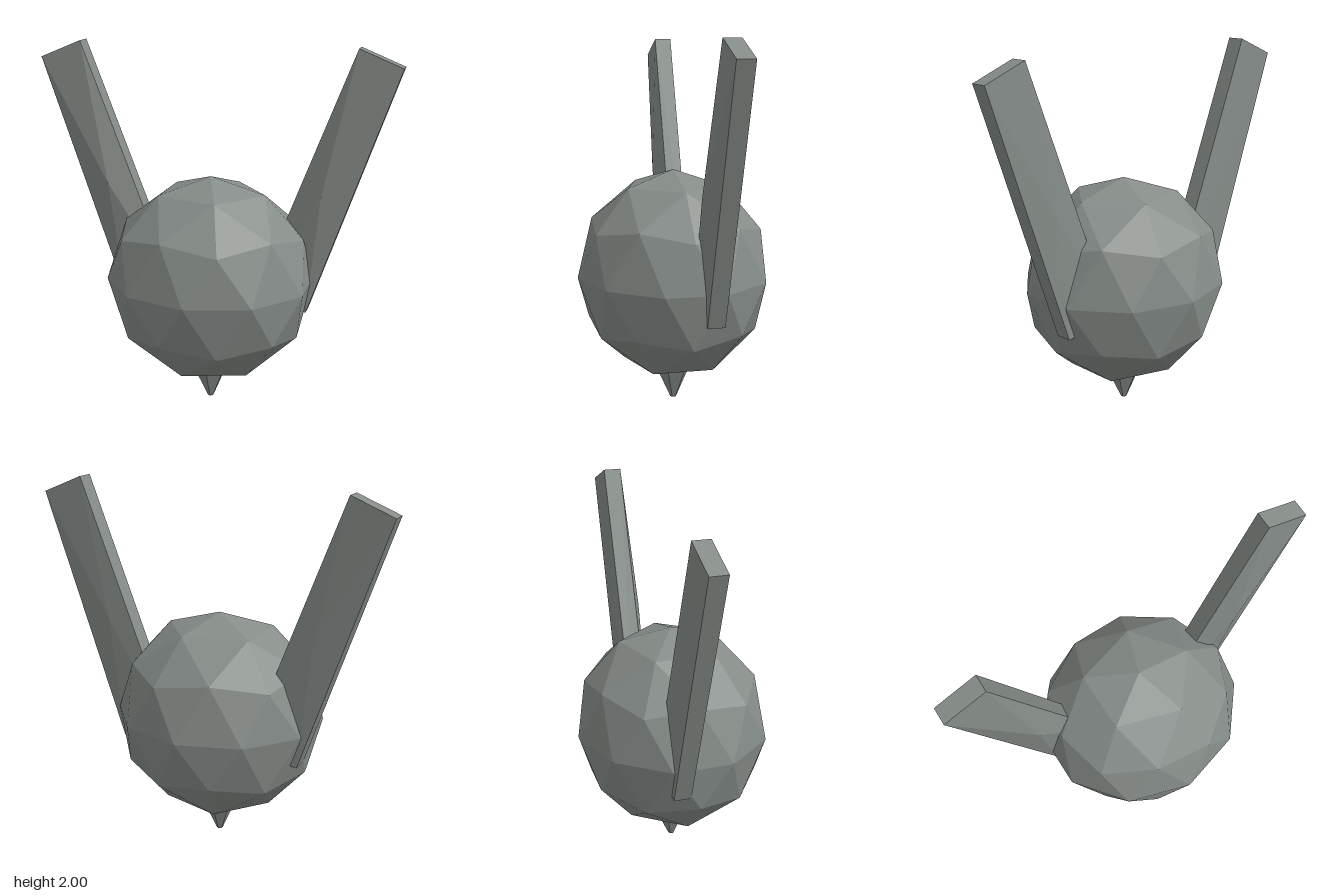
import * as THREE from 'three';

const stone = new THREE.MeshStandardMaterial({ color: 0x868d89, flatShading: true });
stone.name = 'greyStone';

// Tapered four-sided beam whose front and back bulge to a shallow peak; side is +1 or -1
function hornGeometry(side) {
  const outline = [[0.53, 0.54], [1, 1.905], [0.767, 2], [0.23, 0.6]];
  const peak = [0.605, 1.22];
  const pos = [];
  for (const z of [-0.06, -0.155]) for (const [x, y] of outline) pos.push(side * x, y, z);
  for (const z of [-0.008, -0.166]) pos.push(side * peak[0], peak[1], z);

  const index = [];
  const tri = (a, b, c) => (side > 0 ? index.push(a, b, c) : index.push(a, c, b));
  for (let i = 0; i < 4; i++) {
    const j = (i + 1) % 4;
    tri(i, j, 8); // front facet
    tri(j + 4, i + 4, 9); // back facet
    tri(i, i + 4, j + 4); // edge strip
    tri(i, j + 4, j);
  }
  const g = new THREE.BufferGeometry();
  g.setAttribute('position', new THREE.Float32BufferAttribute(pos, 3));
  g.setIndex(index);
  const flat = g.toNonIndexed();
  flat.computeVertexNormals();
  return flat;
}

export function createModel() {
  const group = new THREE.Group();
  const add = (name, geometry) => {
    const mesh = new THREE.Mesh(geometry, stone);
    mesh.name = name;
    group.add(mesh);
    return mesh;
  };

  // Faceted round body, turned so that a corner points straight up
  const ball = new THREE.IcosahedronGeometry(1, 1);
  ball.rotateZ(-Math.atan(2 / (1 + Math.sqrt(5))));
  ball.scale(0.581, 0.581, 0.533);
  add('body', ball).position.y = 0.717;

  // Pair of raised horns
  add('leftHorn', hornGeometry(1));
  add('rightHorn', hornGeometry(-1));

  // Six-sided spike underneath
  add('bottomSpike', new THREE.CylinderGeometry(0.107, 0.017, 0.2, 6)).position.y = 0.1;

  return group;
}
